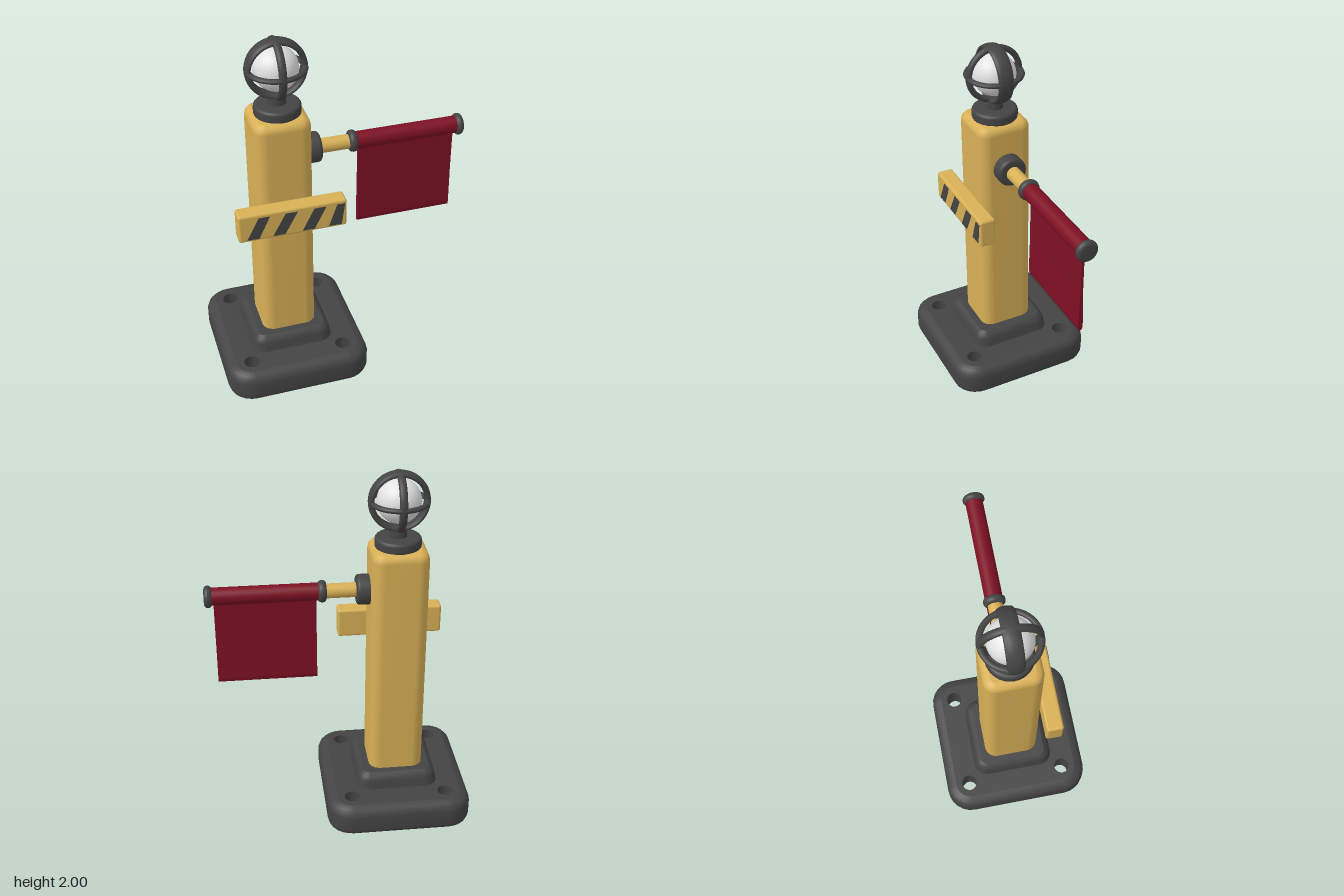
import * as THREE from 'three';
import { mergeGeometries } from 'three/addons/utils/BufferGeometryUtils.js';
import { RoundedBoxGeometry } from 'three/addons/geometries/RoundedBoxGeometry.js';

const yellow = new THREE.MeshStandardMaterial({ color: 0xd8b056 });
yellow.name = 'yellow paint';
const charcoal = new THREE.MeshStandardMaterial({ color: 0x444444 });
charcoal.name = 'charcoal metal';
const red = new THREE.MeshStandardMaterial({ color: 0x7d1024 });
red.name = 'dark red cloth';
const white = new THREE.MeshStandardMaterial({ color: 0xe2e2e2 });
white.name = 'white glass';

const POST_X = -0.315;

function add(parent, name, geometry, material, x = 0, y = 0, z = 0) {
  const mesh = new THREE.Mesh(geometry, material);
  mesh.name = name;
  mesh.position.set(x, y, z);
  parent.add(mesh);
  return mesh;
}

// Points of a rounded rectangle around the origin
function roundedRect(w, d, r) {
  const points = [];
  [[1, 1], [-1, 1], [-1, -1], [1, -1]].forEach(([sx, sz], c) => {
    for (let i = 0; i <= 6; i++) {
      const a = (c + i / 6) * Math.PI / 2;
      points.push(new THREE.Vector2(sx * (w - r) + r * Math.cos(a), sz * (d - r) + r * Math.sin(a)));
    }
  });
  return points;
}

// Rounded block from levels of [inset, y], with optional round holes through it
function roundedBlock(w, d, r, levels, holes = [], holeR = 0) {
  const rings = levels.map(([inset]) => roundedRect(w - inset, d - inset, r - inset));
  const n = rings[0].length, pos = [], index = [];
  rings.forEach((ring, j) => ring.forEach(p => pos.push(p.x, levels[j][1], p.y)));
  for (let j = 0; j < levels.length - 1; j++) {
    for (let i = 0; i < n; i++) {
      const a = j * n + i, b = j * n + (i + 1) % n;
      index.push(a, a + n, b, b, a + n, b + n);
    }
  }
  const skin = new THREE.BufferGeometry();
  skin.setAttribute('position', new THREE.Float32BufferAttribute(pos, 3));
  skin.setIndex(index);
  skin.computeVertexNormals();
  const parts = [skin];
  const bottom = levels[0][1], top = levels[levels.length - 1][1];
  [[rings[0], bottom, 1], [rings[rings.length - 1], top, -1]].forEach(([ring, y, turn]) => {
    const shape = new THREE.Shape(ring);
    holes.forEach(([x, z]) => shape.holes.push(new THREE.Path().absarc(x, z, holeR, 0, Math.PI * 2, true)));
    parts.push(new THREE.ShapeGeometry(shape, 12).rotateX(turn * Math.PI / 2).translate(0, y, 0));
  });
  // A downward profile makes the hole walls face inwards
  holes.forEach(([x, z]) => parts.push(new THREE.LatheGeometry(
    [new THREE.Vector2(holeR, top), new THREE.Vector2(holeR, bottom)], 24).translate(x, 0, z)));
  parts.forEach(g => g.deleteAttribute('uv'));
  return mergeGeometries(parts);
}

// Disc with rounded rims, centred, along y
function disc(r, length, bevel) {
  const h = length / 2, pts = [new THREE.Vector2(0, -h)];
  for (const s of [-1, 1]) {
    for (let i = 0; i <= 4; i++) {
      const a = (s < 0 ? i - 4 : i) * Math.PI / 8;
      pts.push(new THREE.Vector2(r - bevel + bevel * Math.cos(a), s * (h - bevel) + bevel * Math.sin(a)));
    }
  }
  pts.push(new THREE.Vector2(0, h));
  return new THREE.LatheGeometry(pts, 32);
}

export function createModel() {
  const model = new THREE.Group();
  model.name = 'signalPost';

  // Base plate with four bolt holes, and the flared step on it
  const holes = [[-0.267, -0.285], [0.267, -0.285], [0.267, 0.285], [-0.267, 0.285]];
  add(model, 'basePlate', roundedBlock(0.408, 0.42, 0.14, [[0.025, 0], [0.008, 0.012], [0, 0.035], [0, 0.12],
    [0.008, 0.145], [0.025, 0.164], [0.055, 0.175]], holes, 0.044), charcoal, -0.312);
  add(model, 'baseStep', roundedBlock(0.235, 0.237, 0.08, [[0, 0.17], [0.006, 0.185], [0.012, 0.225],
    [0.022, 0.25], [0.045, 0.265]]), charcoal, POST_X);

  // Square post
  add(model, 'post', roundedBlock(0.153, 0.155, 0.065, [[0, 0.26], [0, 1.545], [0.006, 1.568],
    [0.02, 1.584], [0.04, 1.59]]), yellow, POST_X);

  // Lamp with its cage
  const lamp = new THREE.Group();
  lamp.name = 'lamp';
  lamp.position.x = POST_X + 0.003;
  model.add(lamp);
  add(lamp, 'lampCollar', disc(0.125, 0.065, 0.018), charcoal, 0, 1.612);
  add(lamp, 'lampNeck', new THREE.CylinderGeometry(0.044, 0.048, 0.06, 24), charcoal, 0, 1.665);
  add(lamp, 'bulb', new THREE.SphereGeometry(0.118, 32, 20), white, 0, 1.838);
  const hoop = (name, width) => {
    const g = new THREE.TorusGeometry(0.147, 0.016, 12, 48).scale(1, 1, width / 0.016);
    return add(lamp, name, g, charcoal, 0, 1.838);
  };
  hoop('wideCageHoop', 0.044);
  hoop('sideCageHoop', 0.021).rotation.y = Math.PI / 2;
  hoop('levelCageHoop', 0.013).rotation.x = Math.PI / 2;

  // Flag arm, built along x
  const arm = new THREE.Group();
  arm.name = 'flagArm';
  arm.position.y = 1.342;
  model.add(arm);
  const along = (name, geometry, material, x) => add(arm, name, geometry.rotateZ(-Math.PI / 2), material, x);
  along('armCollar', disc(0.083, 0.09, 0.018), charcoal, -0.135);
  along('armRod', new THREE.CylinderGeometry(0.04, 0.04, 0.22, 24), yellow, -0.01);
  along('innerStop', disc(0.06, 0.046, 0.02), charcoal, 0.092);
  along('flagRoll', new THREE.CylinderGeometry(0.048, 0.048, 0.575, 28), red, 0.398);
  along('outerStop', disc(0.06, 0.042, 0.02), charcoal, 0.699);

  // Hanging cloth, slightly thicker towards its lower hem
  const cloth = new THREE.Shape([[-0.007, 1.33], [-0.007, 1.08], [-0.014, 0.84], [-0.01, 0.82], [0, 0.814],
    [0.01, 0.82], [0.014, 0.84], [0.007, 1.08], [0.007, 1.33]].map(p => new THREE.Vector2(...p)));
  const clothGeometry = new THREE.ExtrudeGeometry(cloth, { depth: 0.548, bevelEnabled: false });
  add(model, 'flagCloth', clothGeometry.rotateY(Math.PI / 2), red, 0.123);

  // Warning board with slanted stripes
  add(model, 'board', new RoundedBoxGeometry(0.588, 0.165, 0.092, 3, 0.014), yellow, -0.304, 1.057, 0.194);
  [[-0.555, -0.49, -0.43, -0.49], [-0.415, -0.35, -0.28, -0.345],
    [-0.255, -0.19, -0.125, -0.19], [-0.11, -0.04, -0.022, -0.065]].forEach(([a, b, c, d]) => {
    const stripe = new THREE.Shape([new THREE.Vector2(a, 0.99), new THREE.Vector2(b, 0.99),
      new THREE.Vector2(c, 1.118), new THREE.Vector2(d, 1.118)]);
    add(model, 'boardStripe', new THREE.ExtrudeGeometry(stripe, { depth: 0.006, bevelEnabled: false }),
      charcoal, 0, 0, 0.237);
  });

  return model;
}
